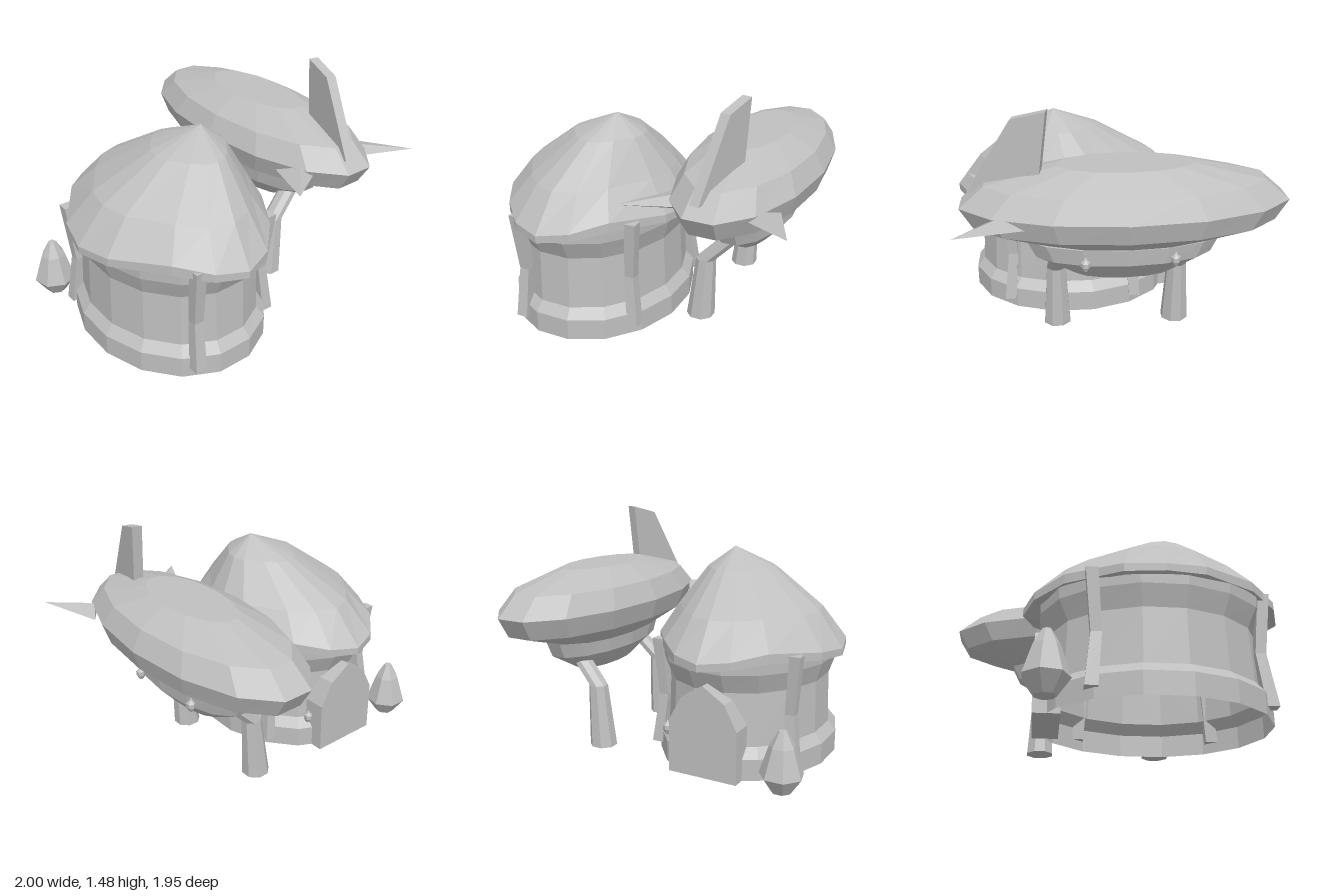
import * as THREE from 'three';
import { ConvexGeometry } from 'three/addons/geometries/ConvexGeometry.js';

const grey = new THREE.MeshStandardMaterial({ color: 0xbfbfbf, flatShading: true, side: THREE.DoubleSide });
grey.name = 'plain grey';

function add(parent, name, geometry, x = 0, y = 0, z = 0) {
  const mesh = new THREE.Mesh(geometry, grey);
  mesh.name = name;
  mesh.position.set(x, y, z);
  parent.add(mesh);
  return mesh;
}

// Regular unit polygon in the x-z plane
function polygon(n, offset = 0) {
  return Array.from({ length: n }, (_, i) => {
    const a = ((i + offset) / n) * Math.PI * 2;
    return [Math.cos(a), Math.sin(a)];
  });
}

// Skin a stack of rings, each an array of points, from bottom to top
function skin(rings, capBottom = false, capTop = false) {
  const pos = [];
  const tri = (...pts) => pts.forEach((p) => pos.push(...p));
  const n = rings[0].length;
  for (let i = 0; i < rings.length - 1; i++) {
    for (let j = 0; j < n; j++) {
      const k = (j + 1) % n;
      const [a, b, c, d] = [rings[i][j], rings[i][k], rings[i + 1][k], rings[i + 1][j]];
      tri(a, d, b);
      tri(b, d, c);
    }
  }
  const first = rings[0];
  const last = rings[rings.length - 1];
  for (let j = 1; j < n - 1; j++) {
    if (capBottom) tri(first[0], first[j], first[j + 1]);
    if (capTop) tri(last[0], last[j + 1], last[j]);
  }
  const g = new THREE.BufferGeometry();
  g.setAttribute('position', new THREE.Float32BufferAttribute(pos, 3));
  g.computeVertexNormals();
  return g;
}

// Elliptical ring: height, radii, centre, and rise of the diagonals
const ring = (outline, y, rx, rz, cx, cz, wave = 0) =>
  outline.map(([u, v]) => [cx + u * rx, y + wave * Math.sin(2 * Math.atan2(v, u)) ** 2, cz + v * rz]);

// Beam with n sides through points [x, y, z, radius]
const beam = (path, n, offset = 0) =>
  skin(path.map(([x, y, z, r]) => ring(polygon(n, offset), y, r, r, x, z)), true, true);

function lantern(parent, x, y, z) {
  const pts = [[0, -0.045], [0.014, -0.035], [0.028, -0.01], [0.028, 0.015], [0.012, 0.03], [0, 0.05]];
  add(parent, 'lantern', new THREE.LatheGeometry(pts.map((p) => new THREE.Vector2(...p)), 6), x, y, z);
}

function buildHut() {
  const hut = new THREE.Group();
  hut.name = 'hut';

  // Wall with a thicker plinth, open underneath
  const round = polygon(16, 0.5);
  const wall = [[0, 0.545, 0.66], [0.13, 0.545, 0.66], [0.19, 0.495, 0.61], [0.51, 0.485, 0.595], [0.63, 0.525, 0.655], [0.7, 0.53, 0.66]];
  add(hut, 'wall', skin(wall.map(([y, rx, rz]) => ring(round, y, rx, rz, -0.4, 0.22))));

  // Roof with a wavy lip and an off-centre peak
  const quarter = [[1, 0], [0.915, 0.295], [0.57, 0.7], [0.3, 0.915]];
  const edge = [
    ...quarter,
    [0, 1], ...quarter.slice(1).reverse().map(([u, v]) => [-u, v]),
    ...quarter.map(([u, v]) => [-u, -v]),
    [0, -1], ...quarter.slice(1).reverse().map(([u, v]) => [u, -v]),
  ];
  add(hut, 'roof', skin([
    ring(edge, 0.69, 0.5, 0.63, -0.4, 0.22),
    ring(edge, 0.662, 0.595, 0.745, -0.4, 0.22, 0.04),
    ring(edge, 0.705, 0.595, 0.745, -0.4, 0.22, 0.055),
    ring(edge, 0.915, 0.455, 0.575, -0.38, 0.235),
    ring(edge, 1.14, 0.225, 0.265, -0.295, 0.295),
    ring(edge, 1.26, 0.001, 0.001, -0.23, 0.32),
  ]));

  // Posts bent inwards at the middle
  for (const [x, z] of [[0.025, 0.63], [-0.63, 0.82], [-0.85, -0.16], [0.04, -0.18]]) {
    const dir = new THREE.Vector2(x + 0.4, z - 0.22).normalize();
    const at = (y, d, r) => [dir.x * d, y, dir.y * d, r];
    const post = add(hut, 'post', beam([at(0.06, 0, 0.05), at(0.37, -0.04, 0.042), at(0.73, 0, 0.048)], 4, 0.5), x, 0, z);
    post.updateMatrix();
  }

  // Arched door slab at the back
  const arch = new THREE.Shape([[-0.22, 0], [0.22, 0], [0.22, 0.32], [0.14, 0.47], [0, 0.56], [-0.14, 0.47], [-0.22, 0.32]]
    .map((p) => new THREE.Vector2(...p)));
  add(hut, 'door', new THREE.ExtrudeGeometry(arch, { depth: 0.15, bevelEnabled: false }), -0.4, 0, -0.45);
  lantern(hut, -0.13, 0.24, -0.38);
  return hut;
}

function buildShip() {
  const ship = new THREE.Group();
  ship.name = 'airship';
  const round = polygon(14);

  // Lens-shaped hull
  const hull = [[0.71, 0.21, 0.5], [0.82, 0.36, 0.867], [0.94, 0.395, 0.94], [1.06, 0.335, 0.8], [1.155, 0.17, 0.39]];
  add(ship, 'hull', skin(hull.map(([y, rx, rz]) => ring(round, y, rx, rz, 0.525, -0.065)), true, true));

  // Cabin slung beneath
  const cabin = [[0.5, 0.1, 0.28], [0.625, 0.21, 0.51], [0.725, 0.222, 0.56]];
  add(ship, 'cabin', skin(cabin.map(([y, rx, rz]) => ring(round, y, rx, rz, 0.54, -0.055)), true, true));

  // Upright tail fin, slightly turned
  const outline = new THREE.Shape([[0.06, 1], [0.46, 1], [0.195, 1.425], [0, 1.475]].map((p) => new THREE.Vector2(...p)));
  const finGeometry = new THREE.ExtrudeGeometry(outline, { depth: 0.06, bevelEnabled: false });
  finGeometry.translate(0, 0, -0.03);
  add(ship, 'tailFin', finGeometry, 0.588, 0, 0.36).rotation.y = -1.793;

  // Spiked side fins
  for (const s of [1, -1]) {
    const pts = [[0.475, 0.94, 0.85], [0.325, 0.905, 0.49], [0.25, 0.95, 0.62], [0.25, 0.87, 0.62], [0.2, 0.91, 0.68]];
    add(ship, 'sideFin', new ConvexGeometry(pts.map(([x, y, z]) => new THREE.Vector3(s * x, y, z))), 0.525, 0, 0);
  }

  // Bent landing legs
  for (const z of [0.33, -0.4]) {
    const top = z * 0.93;
    add(ship, 'leg', beam([[0.325, 0.052, z, 0.085], [0.355, 0.44, z, 0.06], [0.51, 0.6, top, 0.06]], 8, 0.5));
  }
  lantern(ship, 0.745, 0.64, 0.17);
  lantern(ship, 0.73, 0.65, -0.33);
  return ship;
}

export function createModel() {
  const model = new THREE.Group();
  model.name = 'hutAndAirship';
  model.add(buildHut(), buildShip());

  // Seven-sided bud-shaped jar beside the door
  const jar = [[0, 0], [0.06, 0], [0.13, 0.1], [0.075, 0.27], [0.025, 0.36], [0, 0.36]];
  add(model, 'jar', new THREE.LatheGeometry(jar.map((p) => new THREE.Vector2(...p)), 7), -0.87, 0, -0.385);
  return model;
}
